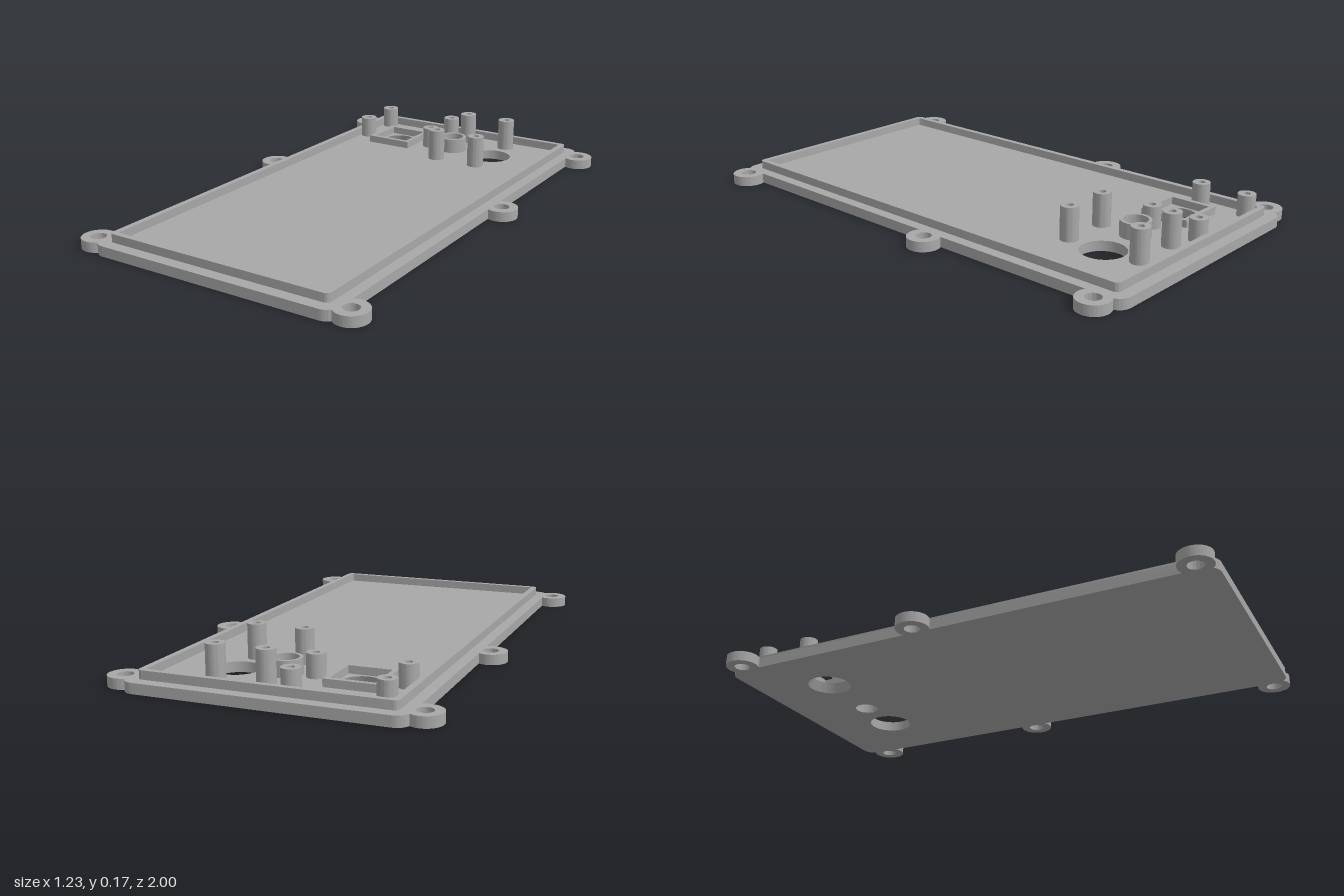
import * as THREE from 'three';
import { toCreasedNormals } from 'three/addons/utils/BufferGeometryUtils.js';

const FLOOR = 0.04; // thickness of the base plate
const RIM_TOP = 0.073;

// Outlines are drawn in plan, with shape y standing for -z.
function roundedRect(path, cx, cz, hw, hd, r) {
  const cy = -cz;
  path.absarc(cx + hw - r, cy + hd - r, r, 0, Math.PI / 2);
  path.absarc(cx - hw + r, cy + hd - r, r, Math.PI / 2, Math.PI);
  path.absarc(cx - hw + r, cy - hd + r, r, Math.PI, Math.PI * 1.5);
  path.absarc(cx + hw - r, cy - hd + r, r, Math.PI * 1.5, Math.PI * 2);
  path.closePath();
  return path;
}

function rect(path, cx, cz, hw, hd) {
  path.moveTo(cx - hw, -cz - hd);
  path.lineTo(cx + hw, -cz - hd);
  path.lineTo(cx + hw, -cz + hd);
  path.lineTo(cx - hw, -cz + hd);
  path.closePath();
  return path;
}

const circle = (path, cx, cz, r) => path.absarc(cx, -cz, r, 0, Math.PI * 2);

export function createModel() {
  const model = new THREE.Group();
  const grey = new THREE.MeshStandardMaterial({ color: 0xa8a8a8 });
  grey.name = 'grey';

  function add(name, geometry, parent = model) {
    const mesh = new THREE.Mesh(toCreasedNormals(geometry, 0.5), grey);
    mesh.name = name;
    parent.add(mesh);
    return mesh;
  }

  // Upright solid from a plan outline
  function slab(name, shape, y0, y1, holes = [], parent = model) {
    shape.holes.push(...holes);
    const geometry = new THREE.ExtrudeGeometry(shape, {
      depth: y1 - y0, bevelEnabled: false, curveSegments: 24,
    });
    geometry.rotateX(-Math.PI / 2).translate(0, y0, 0);
    return add(name, geometry, parent);
  }

  function tube(name, x, z, outer, inner, y0, y1, parent = model) {
    return slab(name, circle(new THREE.Shape(), x, z, outer), y0, y1,
      [circle(new THREE.Path(), x, z, inner)], parent);
  }

  // Base plate with its three openings
  const holeZ = -0.704;
  slab('basePlate', roundedRect(new THREE.Shape(), 0, 0, 0.52, 1, 0.05), 0, FLOOR, [
    circle(new THREE.Path(), -0.253, holeZ, 0.086),
    circle(new THREE.Path(), 0.029, holeZ, 0.047),
    circle(new THREE.Path(), 0.222, holeZ, 0.087),
  ]);

  // Tapered wall of the left-hand opening, wider underneath
  const taper = new THREE.LatheGeometry([
    new THREE.Vector2(0.086, FLOOR),
    new THREE.Vector2(0.071, FLOOR),
    new THREE.Vector2(0.086, 0),
  ], 48);
  add('taperedOpening', taper).position.set(-0.253, 0, holeZ);

  // Raised lip around the plate
  slab('rim', roundedRect(new THREE.Shape(), 0, 0, 0.477, 0.953, 0.02), FLOOR, RIM_TOP,
    [roundedRect(new THREE.Path(), 0, 0, 0.453, 0.93, 0.01)]);

  // Screw ears, three along each side, cut flat where they enter the plate
  const ears = new THREE.Group();
  ears.name = 'screwEars';
  model.add(ears);
  const cut = Math.acos(-0.045 / 0.064);
  for (const side of [1, -1]) {
    for (const z of [-0.911, -0.137, 0.935]) {
      const turn = side > 0 ? 0 : Math.PI;
      const outline = new THREE.Shape();
      outline.absarc(side * 0.551, -z, 0.064, turn - cut, turn + cut);
      outline.closePath();
      slab('screwEar', outline, 0, FLOOR,
        [circle(new THREE.Path(), side * 0.551, z, 0.03)], ears);
    }
  }

  // Square frame and round collar around two openings
  slab('squareFrame', rect(new THREE.Shape(), -0.253, holeZ, 0.101, 0.101), FLOOR, 0.07,
    [rect(new THREE.Path(), -0.253, holeZ, 0.082, 0.082)]);
  tube('collar', 0.029, holeZ, 0.06, 0.047, FLOOR, 0.102);

  // Hollow mounting posts, four short and four tall
  const posts = new THREE.Group();
  posts.name = 'mountingPosts';
  model.add(posts);
  for (const x of [-0.42, -0.082]) {
    for (const z of [-0.898, -0.698]) tube('shortPost', x, z, 0.035, 0.014, FLOOR, 0.128, posts);
  }
  for (const x of [0.029, 0.222]) {
    for (const z of [-0.857, -0.55]) tube('tallPost', x, z, 0.035, 0.014, FLOOR, 0.172, posts);
  }

  return model;
}
